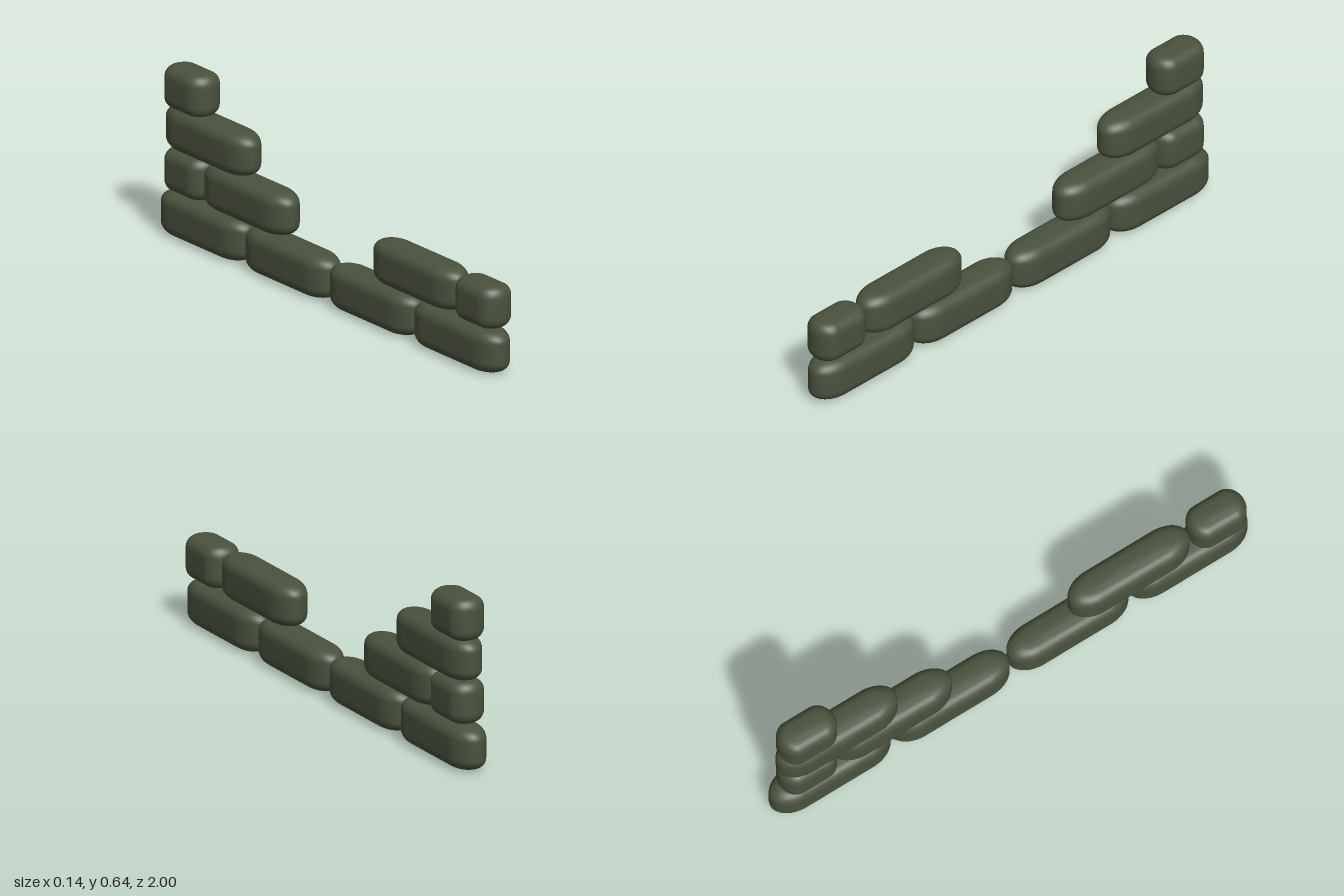
import * as THREE from 'three';
import { mergeVertices } from 'three/addons/utils/BufferGeometryUtils.js';

const HEIGHT = 0.163, HALF_WIDTH = 0.07;

// Rounded bag: a lathed pill whose front and back halves are pulled apart along z
function bagGeometry(length, endDepth) {
  const points = [[0, 0], [0.016, 0.0006], [0.03, 0.003]];
  const corner = 8;
  for (let i = 1; i <= corner; i++) {
    const a = (i / corner) * Math.PI / 2;
    points.push([0.03 + 0.04 * Math.sin(a), 0.003 + 0.042 * (1 - Math.cos(a))]);
  }
  points.push([HALF_WIDTH, HEIGHT / 2]);
  const lower = points.slice(0, -1).reverse();
  lower.forEach(([r, y]) => points.push([r, HEIGHT - y]));

  const segments = 40;
  let geo = new THREE.LatheGeometry(
    points.map(([r, y]) => new THREE.Vector2(r, y)), segments, Math.PI / segments);
  const pos = geo.attributes.position;
  const stretch = endDepth / HALF_WIDTH, shift = length / 2 - endDepth;
  for (let i = 0; i < pos.count; i++) {
    const z = pos.getZ(i);
    if (Math.abs(z) > 1e-6) pos.setZ(i, z * stretch + Math.sign(z) * shift);
  }
  // Weld the seam so the shading is smooth all round
  geo.deleteAttribute('uv');
  geo.deleteAttribute('normal');
  geo = mergeVertices(geo, 1e-5);
  geo.computeVertexNormals();
  return geo;
}

export function createModel() {
  const group = new THREE.Group();
  group.name = 'sandbagWall';
  const material = new THREE.MeshStandardMaterial({ color: 0x4a523e });
  const longBag = bagGeometry(0.497, 0.11);
  const shortBag = bagGeometry(0.229, 0.062);

  // Courses from the ground up, bags given by their centre along z
  const courses = [
    { y: 0.001, long: [0.7515, 0.25, -0.25, -0.7515], short: [] },
    { y: 0.169, long: [0.508, -0.494], short: [0.877, -0.849] },
    { y: 0.328, long: [-0.722], short: [] },
    { y: 0.48, long: [], short: [-0.849] },
  ];
  courses.forEach(({ y, long, short }, row) => {
    const course = new THREE.Group();
    course.name = `course${row + 1}`;
    const add = (geo, name) => (z, i) => {
      const bag = new THREE.Mesh(geo, material);
      bag.name = `${name}${i + 1}`;
      bag.position.set(0, y, z);
      course.add(bag);
    };
    long.forEach(add(longBag, 'longSandbag'));
    short.forEach(add(shortBag, 'shortSandbag'));
    group.add(course);
  });
  return group;
}
